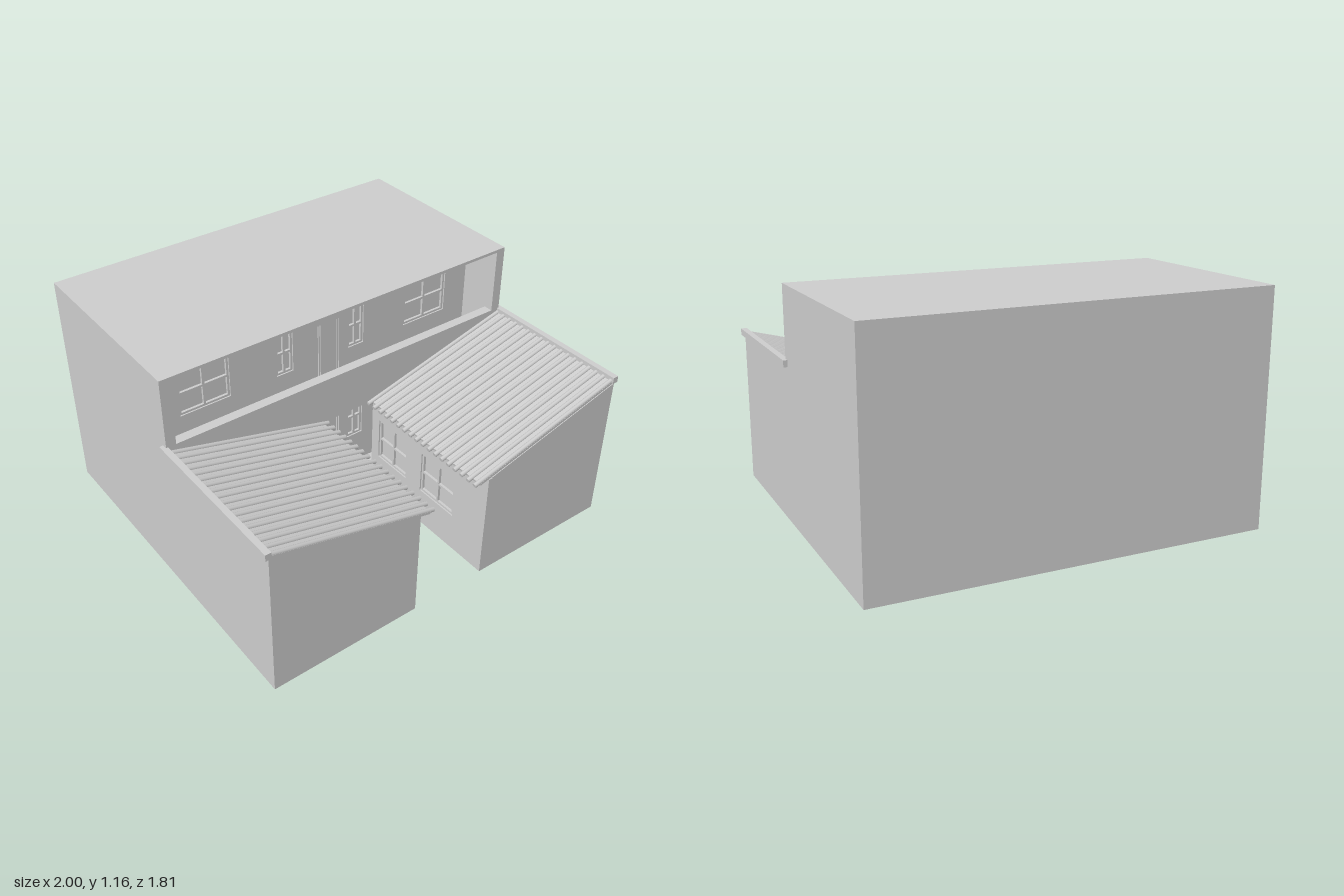
import * as THREE from 'three';

const plaster = new THREE.MeshStandardMaterial({ color: 0xcccccc });
plaster.name = 'light grey plaster';

function add(parent, name, geometry, x = 0, y = 0, z = 0) {
  const mesh = new THREE.Mesh(geometry, plaster);
  mesh.name = name;
  mesh.position.set(x, y, z);
  parent.add(mesh);
  return mesh;
}

// Box given by its minimum and maximum corners
function block(parent, name, [x0, y0, z0], [x1, y1, z1]) {
  return add(parent, name, new THREE.BoxGeometry(x1 - x0, y1 - y0, z1 - z0),
    (x0 + x1) / 2, (y0 + y1) / 2, (z0 + z1) / 2);
}

function polygon(points) {
  return new THREE.Shape(points.map(([x, y]) => new THREE.Vector2(x, y)));
}

function extrude(shape, depth) {
  return new THREE.ExtrudeGeometry(shape, { depth, bevelEnabled: false });
}

// Floor plan (x, z) raised from y0 to y1
function plan(parent, name, points, y0, y1) {
  const g = extrude(polygon(points), y1 - y0);
  g.rotateX(Math.PI / 2);
  add(parent, name, g, 0, y1, 0);
}

const WALL = 0.02; // depth of the window and door openings

// Wall panel facing +z with openings, each { x0, x1, y0, y1, door }
function panel(name, x0, x1, y0, y1, openings) {
  const group = new THREE.Group();
  group.name = name;
  const shape = polygon([[x0, y0], [x1, y0], [x1, y1], [x0, y1]]);
  for (const o of openings) {
    shape.holes.push(polygon([[o.x0, o.y0], [o.x0, o.y1], [o.x1, o.y1], [o.x1, o.y0]]));
  }
  add(group, name + 'Panel', extrude(shape, WALL));
  for (const o of openings) (o.door ? doubleDoor : windowFrame)(group, o);
  return group;
}

// Outer frame with a cross of glazing bars
function windowFrame(parent, { x0, x1, y0, y1 }) {
  const t = 0.011, d = 0.013;
  const cx = (x0 + x1) / 2, cy = (y0 + y1) / 2;
  for (const x of [x0 + t / 2, cx, x1 - t / 2]) {
    block(parent, 'windowUpright', [x - t / 2, y0, 0], [x + t / 2, y1, d]);
  }
  for (const y of [y0 + t / 2, cy, y1 - t / 2]) {
    block(parent, 'windowRail', [x0, y - t / 2, 0], [x1, y + t / 2, d]);
  }
}

// Two leaves with a raised border round each
function doubleDoor(parent, { x0, x1, y0, y1 }) {
  const t = 0.007, mid = (x0 + x1) / 2;
  for (const [a, b] of [[x0, mid - 0.002], [mid + 0.002, x1]]) {
    block(parent, 'doorLeaf', [a, y0, 0], [b, y1, 0.006]);
    for (const x of [a, b - t]) block(parent, 'doorStile', [x, y0, 0], [x + t, y1, 0.013]);
    for (const y of [y0, y1 - t]) block(parent, 'doorRail', [a, y, 0], [b, y + t, 0.013]);
  }
}

// Door and windows of one storey, above a floor at the given height
function facade(name, floor, top) {
  const openings = [{ x0: -0.11, x1: 0.11, y0: floor + 0.004, y1: floor + 0.375, door: true }];
  for (const [a, b] of [[0.165, 0.26], [0.52, 0.79]]) {
    for (const s of [-1, 1]) {
      openings.push({
        x0: Math.min(s * a, s * b), x1: Math.max(s * a, s * b),
        y0: floor + 0.18, y1: floor + 0.41,
      });
    }
  }
  const f = panel(name, -0.93, 0.93, floor, top, openings);
  f.position.z = -0.13;
  return f;
}

const SLOPE = 0.26;
const eave = (x) => 0.555 + SLOPE * (x - 0.13); // underside of the wing roof

// Front wing with a sloping top and windows towards the courtyard
function wing(side) {
  const group = new THREE.Group();
  group.name = side > 0 ? 'leftWing' : 'rightWing';
  const inner = 0.2 + WALL;
  const profile = polygon([[inner, 0], [0.98, 0], [0.98, eave(0.98)], [inner, eave(inner)]]
    .map(([x, y]) => [side * x, y]));
  add(group, 'wingBody', extrude(profile, 0.795), 0, 0, 0.1);

  const openings = [[0.44, 0.68], [0.11, 0.33]].map(([a, b]) => ({
    x0: side > 0 ? a : -b, x1: side > 0 ? b : -a, y0: 0.2, y1: 0.43,
  }));
  const z0 = 0.1, z1 = 0.895;
  const wall = panel('courtyardWall', side > 0 ? z0 : -z1, side > 0 ? z1 : -z0, 0, eave(0.2), openings);
  wall.rotation.y = -side * Math.PI / 2;
  wall.position.x = side * inner;
  group.add(wall);
  return group;
}

// Ribbed roof sheet sloping down towards the courtyard, with an outer edge beam
function wingRoof(side) {
  const group = new THREE.Group();
  group.name = side > 0 ? 'leftRoof' : 'rightRoof';
  const angle = Math.atan(SLOPE);
  const strip = (name, geometry, x0, x1, lift, z) => {
    const m = (x0 + x1) / 2;
    const mesh = add(group, name, geometry, side * m, eave(m) + lift, z);
    mesh.rotation.z = side * angle;
  };
  const length = (x0, x1) => (x1 - x0) / Math.cos(angle);

  strip('roofSheet', new THREE.BoxGeometry(length(0.15, 0.975), 0.012, 0.8), 0.15, 0.975, 0.007, 0.5);
  const rib = new THREE.CylinderGeometry(0.0115, 0.0115, length(0.125, 0.975), 10);
  rib.rotateZ(Math.PI / 2);
  const count = 18;
  for (let i = 0; i < count; i++) {
    strip('roofRib', rib, 0.125, 0.975, 0.013, 0.118 + i * (0.77 / (count - 1)));
  }
  add(group, 'edgeBeam', new THREE.BoxGeometry(0.03, 0.033, 0.825), side * 0.985, 0.7935, 0.4925);
  if (side > 0) group.position.z = -0.008;
  return group;
}

export function createModel() {
  const house = new THREE.Group();
  house.name = 'house';

  // Ground storey: gallery behind a front wall with a central opening
  plan(house, 'groundStorey', [
    [-0.98, -0.905], [0.98, -0.905], [0.98, 0.105], [0.2, 0.105], [0.2, 0.055], [0.93, 0.055],
    [0.93, -0.13], [-0.93, -0.13], [-0.93, 0.055], [-0.2, 0.055], [-0.2, 0.105], [-0.98, 0.105],
  ], 0, 0.57);
  block(house, 'galleryFloor', [-0.93, 0, -0.13], [0.93, 0.02, 0.055]);
  block(house, 'threshold', [-0.2, 0, 0.055], [0.2, 0.02, 0.07]);

  // Upper storey: open balcony with a solid parapet
  block(house, 'balconyFloor', [-0.98, 0.57, -0.905], [0.98, 0.585, 0.105]);
  plan(house, 'upperStorey', [
    [-0.98, -0.905], [0.98, -0.905], [0.98, 0.105], [0.93, 0.105],
    [0.93, -0.13], [-0.93, -0.13], [-0.93, 0.105], [-0.98, 0.105],
  ], 0.585, 1.145);
  block(house, 'parapet', [-0.93, 0.585, 0.055], [0.93, 0.81, 0.105]);
  block(house, 'flatRoof', [-0.98, 1.145, -0.905], [0.98, 1.16, 0.105]);

  house.add(facade('groundFacade', 0.02, 0.57), facade('upperFacade', 0.585, 1.145));

  for (const side of [1, -1]) house.add(wing(side), wingRoof(side));
  return house;
}
